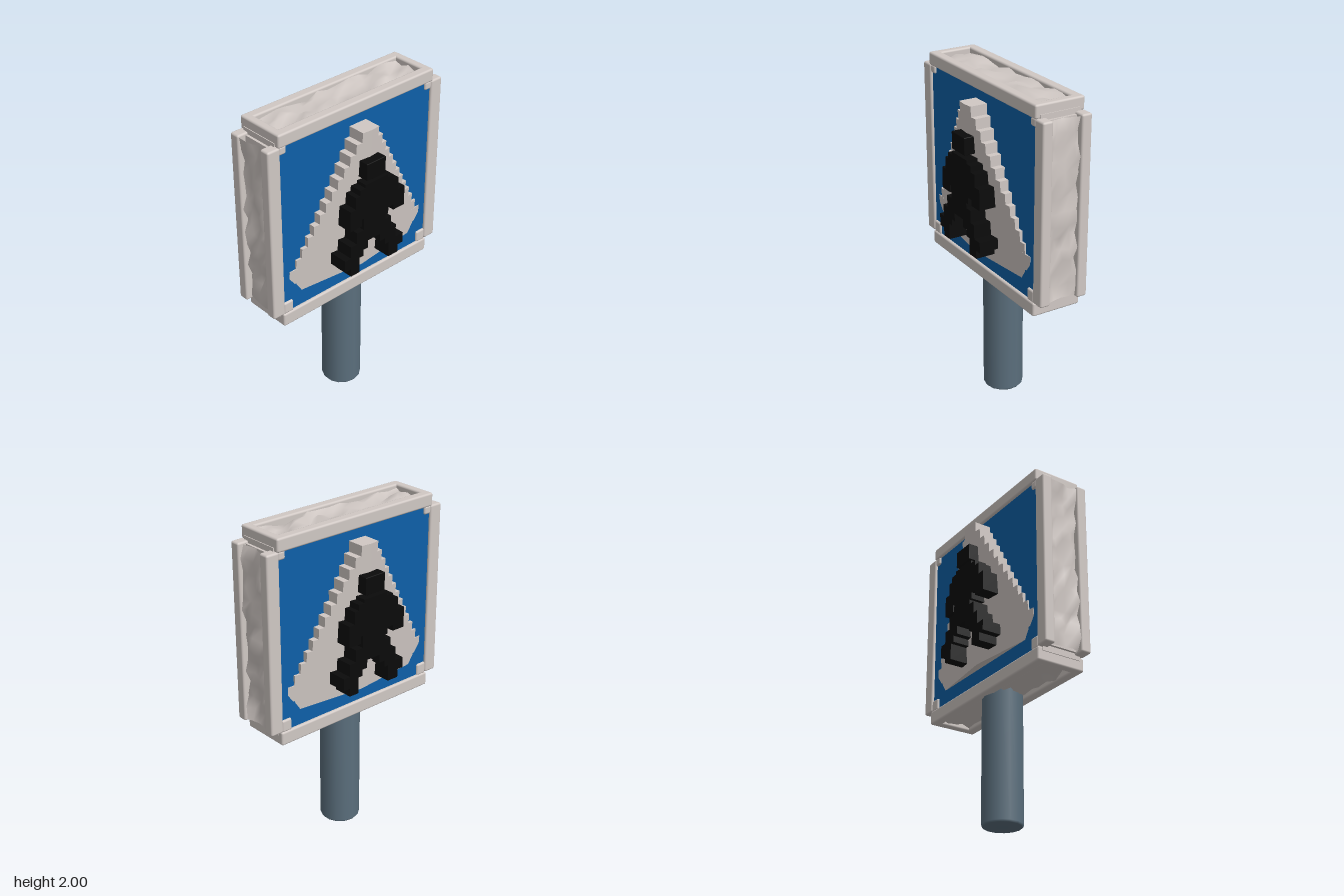
import * as THREE from 'three';
import { RoundedBoxGeometry } from 'three/addons/geometries/RoundedBoxGeometry.js';

const mat = (name, color) => {
  const m = new THREE.MeshStandardMaterial({ color });
  m.name = name;
  return m;
};

export function createModel() {
  const model = new THREE.Group();
  model.name = 'crossingSign';
  const stone = mat('pale stone', 0xd0c8c4);
  const blue = mat('sign blue', 0x0e60a8);
  const black = mat('figure black', 0x0b0b0b);
  const steel = mat('pole grey', 0x5b6f7d);

  const add = (name, geometry, material, parent = model) => {
    const mesh = new THREE.Mesh(geometry, material);
    mesh.name = name;
    parent.add(mesh);
    return mesh;
  };
  // Box given by its limits on each axis, with softened edges
  const block = (name, x0, x1, y0, y1, z0, z1, material = stone, parent = model, r = 0.012) =>
    add(name, new RoundedBoxGeometry(x1 - x0, y1 - y0, z1 - z0, 2, r), material, parent)
      .position.set((x0 + x1) / 2, (y0 + y1) / 2, (z0 + z1) / 2);

  let seed = 7;
  const random = () => {
    seed = (seed * 16807) % 2147483647;
    return seed / 2147483647;
  };
  // Rough hewn sheet that lies in the recess of an edge, facing +z before turning
  const roughPanel = (name, w, h, nx, ny) => {
    const g = new THREE.PlaneGeometry(w, h, nx, ny);
    const p = g.attributes.position;
    for (let i = 0; i < p.count; i++) {
      const edge = Math.abs(p.getX(i)) > w / 2 - 0.001 || Math.abs(p.getY(i)) > h / 2 - 0.001;
      const s = edge ? 0 : 0.025;
      p.setXYZ(i, p.getX(i) + (random() - 0.5) * s, p.getY(i) + (random() - 0.5) * s,
        (random() - 0.5) * 0.045);
    }
    g.computeVertexNormals();
    return add(name, g, stone);
  };

  // Pole with a softened foot
  const pole = add('pole', new THREE.LatheGeometry([
    [0, 0], [0.112, 0], [0.121, 0.012], [0.121, 0.8]
  ].map(([r, y]) => new THREE.Vector2(r, y)), 14), steel);
  pole.position.x = 0.006;

  // Core of the board
  add('boardCore', new THREE.BoxGeometry(1.15, 1.12, 0.25), stone).position.y = 1.385;

  // Top and bottom edges: a closed frame around a rough recess
  for (const [label, y0, y1] of [['top', 1.92, 2], ['bottom', 0.765, 0.85]]) {
    for (const s of [-1, 1]) {
      const z = s * 0.125;
      block(label + 'Rail', -0.57, 0.57, y0, y1, z - 0.03, z + 0.03);
      block(label + 'EndRail', s * 0.545 - 0.025, s * 0.545 + 0.025, y0, y1, -0.15, 0.15);
    }
  }
  const topRough = roughPanel('topRoughPanel', 1.06, 0.2, 14, 4);
  topRough.rotation.x = -Math.PI / 2;
  topRough.position.y = 1.972;
  const bottomRough = roughPanel('bottomRoughPanel', 1.06, 0.2, 14, 4);
  bottomRough.rotation.x = Math.PI / 2;
  bottomRough.position.y = 0.793;

  // Side edges: two upright rails with rough stone between
  for (const s of [-1, 1]) {
    const x = s * 0.6;
    for (const z of [-0.122, 0.122]) {
      block('sideRail', x - 0.042, x + 0.042, 0.85, 1.925, z - 0.032, z + 0.032);
    }
    add('sideFill', new THREE.BoxGeometry(0.05, 1.05, 0.2), stone).position.set(s * 0.565, 1.387, 0);
    const rough = roughPanel('sideRoughPanel', 0.19, 1.05, 4, 14);
    rough.rotation.y = s * Math.PI / 2;
    rough.position.set(s * 0.615, 1.387, 0);
  }

  // Stepped triangle, thickest at its tip and centre line
  const relief = (x, y) => 0.185 + 0.065 * (y - 0.95) / 0.9 - 0.055 * Math.min(1, Math.abs(x) / 0.5);
  const triangle = new THREE.Group();
  triangle.name = 'warningTriangle';
  model.add(triangle);
  const rows = [[0.945, 1.01, 0.46], [1.01, 1.11, 0.51]];
  for (let i = 0; i < 12; i++) {
    rows.push([1.11 + i * 0.0625, 1.1725 + i * 0.0625, 0.467 - i * 0.037]);
  }
  for (const [y0, y1, half] of rows) {
    const g = new THREE.BoxGeometry(half * 2, y1 - y0, 0.3, 10, 1, 1);
    g.translate(0, (y0 + y1) / 2, 0);
    const p = g.attributes.position;
    for (let i = 0; i < p.count; i++) {
      p.setZ(i, Math.sign(p.getZ(i)) * relief(p.getX(i), p.getY(i)));
    }
    g.computeVertexNormals();
    add('triangleStep', g, stone, triangle);
  }

  // Blocky walking figure outline, from the shoulders clockwise
  const outline = [
    [-0.08, 1.565], [0.09, 1.565], [0.09, 1.545], [0.135, 1.545], [0.135, 1.51], [0.175, 1.51],
    [0.175, 1.435], [0.225, 1.435], [0.225, 1.31], [0.14, 1.31], [0.14, 1.345], [0.1, 1.345],
    [0.1, 1.305], [0.08, 1.305], [0.08, 1.275], [0.125, 1.275], [0.125, 1.2], [0.165, 1.2],
    [0.165, 1.115], [0.225, 1.115], [0.225, 1.05], [0.185, 1.05], [0.185, 1], [0.11, 1],
    [0.11, 1.1], [0.08, 1.1], [0.08, 1.14], [0.04, 1.14], [0.04, 1.19], [-0.055, 1.19],
    [-0.055, 1.14], [-0.09, 1.14], [-0.09, 1.1], [-0.12, 1.1], [-0.12, 1], [-0.185, 1],
    [-0.185, 1.05], [-0.23, 1.05], [-0.23, 1.125], [-0.185, 1.125], [-0.185, 1.2], [-0.14, 1.2],
    [-0.14, 1.275], [-0.09, 1.275], [-0.09, 1.35], [-0.105, 1.35], [-0.105, 1.305],
    [-0.19, 1.305], [-0.19, 1.435], [-0.15, 1.435], [-0.15, 1.51], [-0.12, 1.51],
    [-0.12, 1.545], [-0.08, 1.545]
  ].reverse().map(([x, y]) => new THREE.Vector2(x, y));
  const figure = new THREE.ExtrudeGeometry(new THREE.Shape(outline), { depth: 0.12, bevelEnabled: false });

  // Front and back faces are the same, turned half way round
  for (const turn of [0, Math.PI]) {
    const face = new THREE.Group();
    face.name = turn ? 'backFace' : 'frontFace';
    face.rotation.y = turn;
    model.add(face);
    add('bluePanel', new THREE.BoxGeometry(1.12, 1.08, 0.008), blue, face).position.set(0, 1.385, 0.134);
    for (const s of [-1, 1]) {
      block('lowerCorner', s * 0.528 - 0.034, s * 0.528 + 0.034, 0.845, 0.92, 0.1, 0.15, stone, face);
      block('upperCorner', s * 0.538 - 0.025, s * 0.538 + 0.025, 1.875, 1.925, 0.1, 0.15, stone, face);
    }
    add('figureBody', figure, black, face).position.z = 0.17;
    block('figureHead', -0.07, 0.07, 1.585, 1.69, 0.2, 0.292, black, face, 0.004);
  }
  return model;
}
